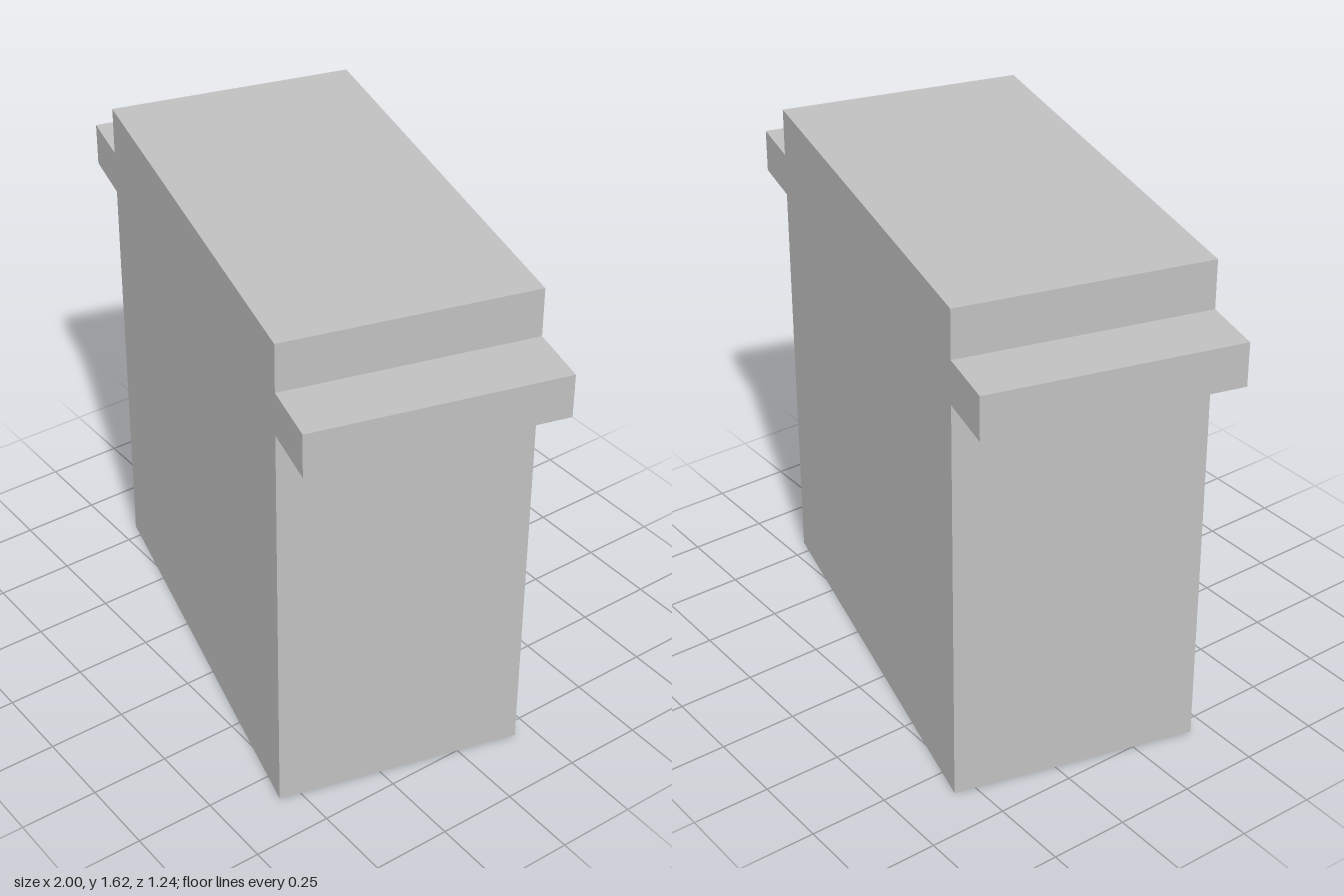
import * as THREE from 'three';

export function createModel() {
  const group = new THREE.Group();
  const grey = new THREE.MeshStandardMaterial({ color: 0xc0c0c0 });
  grey.name = 'grey';

  const bodyHalf = 0.725, flangeHalf = 0.931;
  const height = 1.62, flangeBottom = 1.33, flangeTop = 1.467, depth = 0.78;

  // right half of the outline: body with a mounting flange near the top
  const half = [
    [bodyHalf, 0], [bodyHalf, flangeBottom], [flangeHalf, flangeBottom],
    [flangeHalf, flangeTop], [bodyHalf, flangeTop], [bodyHalf, height],
  ];
  // mirrored to close the outline
  const outline = [...half, ...half.map(([x, y]) => [-x, y]).reverse()];
  const shape = new THREE.Shape(outline.map(([x, y]) => new THREE.Vector2(x, y)));

  const geometry = new THREE.ExtrudeGeometry(shape, { depth, bevelEnabled: false });
  geometry.translate(0, 0, -depth / 2);

  const body = new THREE.Mesh(geometry, grey);
  body.name = 'flangedBody';
  // the block stands turned about the vertical
  body.rotation.y = -THREE.MathUtils.degToRad(15);
  group.add(body);

  return group;
}
